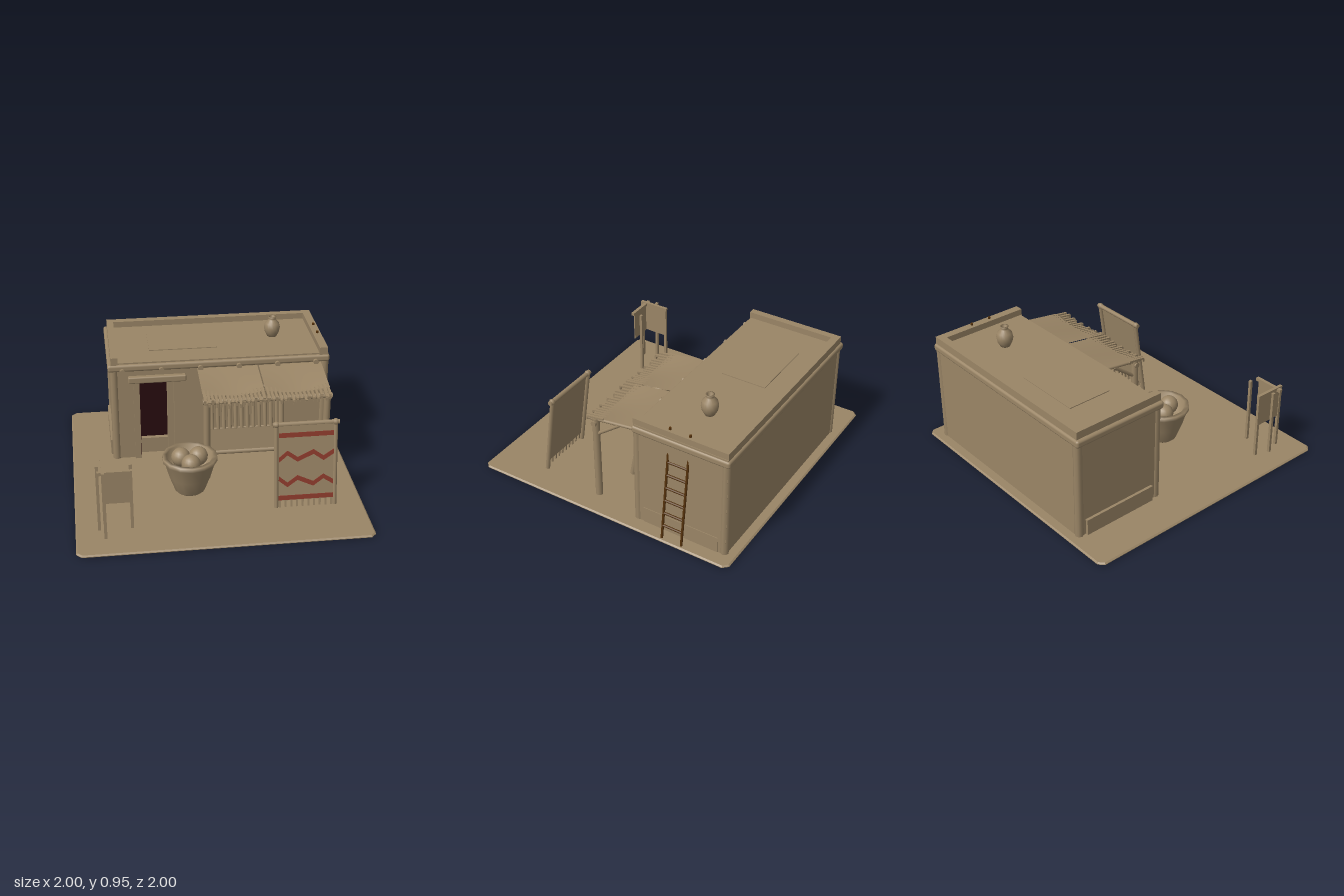
import * as THREE from 'three';
import { RoundedBoxGeometry } from 'three/addons/geometries/RoundedBoxGeometry.js';

const mat = (name, color) => {
  const m = new THREE.MeshStandardMaterial({ color });
  m.name = name;
  return m;
};

export function createModel() {
  const clay = mat('clay', 0x9a8566);
  const red = mat('red wool', 0x8c3a2c);
  const wood = mat('dark wood', 0x53300a);
  const dark = mat('dark interior', 0x280c0e);
  const cloth = mat('clay cloth', 0x9a8566);
  cloth.side = THREE.DoubleSide;
  const model = new THREE.Group();
  model.name = 'adobeHouse';

  const group = (name, parent = model) => {
    const g = new THREE.Group();
    g.name = name;
    parent.add(g);
    return g;
  };
  const add = (name, geo, m = clay, parent = model) => {
    const mesh = new THREE.Mesh(geo, m);
    mesh.name = name;
    parent.add(mesh);
    return mesh;
  };
  // box given by its limits on each axis
  const box = (name, [x0, x1], [y0, y1], [z0, z1], m = clay, parent = model, round = 0) => {
    const s = [x1 - x0, y1 - y0, z1 - z0];
    const geo = round ? new RoundedBoxGeometry(...s, 2, round) : new THREE.BoxGeometry(...s);
    const mesh = add(name, geo, m, parent);
    mesh.position.set((x0 + x1) / 2, (y0 + y1) / 2, (z0 + z1) / 2);
    return mesh;
  };
  // round pole between two points
  const pole = (name, a, b, r, m = clay, parent = model, sides = 8) => {
    const p = new THREE.Vector3(...a), q = new THREE.Vector3(...b);
    const mesh = add(name, new THREE.CylinderGeometry(r, r, p.distanceTo(q), sides), m, parent);
    mesh.position.copy(p).lerp(q, 0.5);
    mesh.quaternion.setFromUnitVectors(new THREE.Vector3(0, 1, 0), q.sub(p).normalize());
    return mesh;
  };

  // ground slab with clipped corners and a small bevel
  const e = 0.99, c = 0.96;
  const slab = new THREE.Shape([[-c, -e], [c, -e], [e, -c], [e, c], [c, e], [-c, e], [-e, c], [-e, -c]]
    .map(p => new THREE.Vector2(...p)));
  add('ground', new THREE.ExtrudeGeometry(slab, { depth: 0.004, bevelThickness: 0.008, bevelSize: 0.01, bevelSegments: 1 })
    .rotateX(-Math.PI / 2).translate(0, 0.008, 0));

  // house walls, with the front wall split around the doorway
  const house = group('house');
  box('mainWalls', [-0.69, 0.895], [0.02, 0.8], [-0.93, -0.34], clay, house);
  box('frontWallLeftPart', [-0.69, -0.49], [0.02, 0.8], [-0.34, -0.235], clay, house);
  box('frontWallRightPart', [-0.24, 0.895], [0.02, 0.8], [-0.34, -0.235], clay, house);
  box('frontWallTop', [-0.49, -0.24], [0.64, 0.8], [-0.34, -0.235], clay, house);
  box('wallBase', [-0.71, 0.9], [0.02, 0.14], [-0.87, -0.3], clay, house);
  box('roofLedge', [-0.715, 0.905], [0.735, 0.79], [-0.945, -0.215], clay, house, 0.018);
  for (const x of [-0.67, 0.873])
    for (const z of [-0.25, -0.91])
      pole('cornerPost', [x, 0.02, z], [x, 0.75, z], 0.03, clay, house);

  // parapet on the back and both sides
  box('backParapet', [-0.69, 0.89], [0.78, 0.845], [-0.93, -0.875], clay, house);
  box('sideParapet', [-0.69, -0.64], [0.78, 0.845], [-0.9, -0.225], clay, house);
  box('sideParapet', [0.83, 0.89], [0.78, 0.845], [-0.9, -0.225], clay, house);
  box('roofHatch', [-0.4, 0.1], [0.795, 0.806], [-0.75, -0.42], clay, house);
  for (let i = 0; i < 6; i++) {
    const x = -0.61 + i * 0.282;
    pole('roofBeamEnd', [x, 0.745, -0.3], [x, 0.745, -0.195], 0.02, clay, house, 10);
  }

  // doorway
  const door = group('doorway');
  box('doorDark', [-0.49, -0.24], [0.02, 0.64], [-0.339, -0.334], dark, door);
  box('doorDarkJamb', [-0.49, -0.486], [0.02, 0.64], [-0.336, -0.237], dark, door);
  box('doorCurtain', [-0.285, -0.24], [0.02, 0.64], [-0.32, -0.26], clay, door);
  box('doorPost', [-0.535, -0.49], [0.02, 0.65], [-0.26, -0.215], clay, door);
  box('doorPost', [-0.24, -0.2], [0.02, 0.65], [-0.26, -0.215], clay, door);
  box('lintel', [-0.57, -0.15], [0.645, 0.695], [-0.26, -0.2], clay, door, 0.01);

  // ladder leaning into the side wall
  const ladder = group('ladder');
  const ladderX = y => 0.972 - (y - 0.02) * 0.13;
  for (const z of [-0.49, -0.64])
    pole('ladderRail', [ladderX(0.02), 0.02, z], [ladderX(0.86), 0.86, z], 0.009, wood, ladder);
  for (let y = 0.12; y < 0.8; y += 0.097)
    pole('ladderRung', [ladderX(y), y, -0.49], [ladderX(y), y, -0.64], 0.009, wood, ladder);

  // awning: two sagging sheets, a stick fringe and its frame
  const awning = group('awning');
  const slope = z => 0.73 - (z + 0.22) * 0.15;
  for (const [x0, x1] of [[-0.07, 0.37], [0.38, 0.84]]) {
    const w = x1 - x0;
    const sag = x => 0.03 * Math.sin(Math.PI * (x - x0) / w);
    const sheet = new THREE.PlaneGeometry(w, 0.32, 12, 6).rotateX(-Math.PI / 2).translate((x0 + x1) / 2, 0, -0.06);
    const p = sheet.attributes.position;
    for (let i = 0; i < p.count; i++) {
      const z = p.getZ(i);
      p.setY(i, slope(z) + 0.006 - sag(p.getX(i)) * (z + 0.22) / 0.4);
    }
    sheet.computeVertexNormals();
    add('awningSheet', sheet, cloth, awning);
    for (let i = 0; i < 16; i++) {
      const x = x0 + 0.012 + i * (w - 0.024) / 15, end = 0.185 + 0.02 * Math.sin(i * 2.3);
      const y = z => slope(z) - sag(x) * 0.8;
      const stick = box('fringeStick', [x - 0.009, x + 0.009], [-0.007, 0.007], [-(end - 0.05) / 2, (end - 0.05) / 2], clay, awning);
      stick.position.set(x, y((end + 0.05) / 2), (end + 0.05) / 2);
      stick.rotation.x = 0.15;
      box('fringeTip', [x - 0.008, x + 0.008], [y(end) - 0.025, y(end)], [end - 0.008, end + 0.004], clay, awning);
    }
  }
  for (const x of [-0.04, 0.82]) {
    pole('awningPost', [x, 0.02, 0.12], [x, 0.67, 0.12], 0.025, clay, awning, 10);
    pole('awningBrace', [x, 0.55, 0.1], [x, 0.68, -0.07], 0.013, clay, awning);
  }
  for (const x of [-0.04, 0.37, 0.82])
    pole('awningRafter', [x, 0.705, -0.22], [x, 0.65, 0.19], 0.012, clay, awning);
  pole('awningBeam', [-0.07, 0.635, 0.12], [0.855, 0.635, 0.12], 0.02, clay, awning);

  // loom leaning under the awning
  const loom = group('loom');
  const loomZ = y => 0.04 - (y - 0.03) * 0.19;
  for (const x of [-0.02, 0.52])
    pole('loomPost', [x, 0.03, loomZ(0.03)], [x, 0.66, loomZ(0.66)], 0.023, clay, loom);
  for (const y of [0.165, 0.635])
    pole('loomBar', [-0.03, y, loomZ(y)], [0.53, y, loomZ(y)], 0.018, clay, loom);
  pole('clothEdge', [0, 0.34, loomZ(0.34)], [0.5, 0.34, loomZ(0.34)], 0.009, clay, loom);
  const web = box('wovenCloth', [0, 0.5], [0.17, 0.34], [-0.008, 0.008], clay, loom);
  web.position.z = loomZ(0.255);
  web.rotation.x = -0.188;
  for (let i = 0; i < 12; i++) {
    const x = 0.015 + i * 0.043;
    pole('warpThread', [x, 0.34, loomZ(0.34)], [x, 0.63, loomZ(0.63)], 0.015, clay, loom, 6);
  }

  // rug on a leaning frame; built upright, then tilted as one
  const rug = group('rugStand');
  rug.position.set(0.59, 0.03, 0.6);
  rug.rotation.x = -0.145;
  for (const x of [-0.205, 0.205])
    pole('rugPost', [x, 0, -0.012], [x, 0.62, -0.012], 0.016, clay, rug);
  pole('rugBar', [-0.23, 0.61, -0.008], [0.23, 0.61, -0.008], 0.017, clay, rug);
  for (const x of [-0.205, 0.205])
    add('rugKnot', new THREE.SphereGeometry(0.023, 8, 6), clay, rug).position.set(x, 0.61, -0.008);
  box('rug', [-0.19, 0.19], [0.055, 0.605], [-0.008, 0.006], clay, rug);
  for (const y of [0.06, 0.52])
    box('rugBand', [-0.19, 0.19], [y, y + 0.033], [0.005, 0.01], red, rug);
  const wave = [[-0.19, 0], [-0.13, 1], [-0.06, 0], [0.05, 1], [0.12, 0], [0.19, 0.9]];
  for (const [y, h] of [[0.34, 0.05], [0.205, -0.05]]) {
    const line = wave.map(([x, t]) => new THREE.Vector2(x, y + t * h));
    const upper = line.map(v => new THREE.Vector2(v.x, v.y + 0.034)).reverse();
    add('rugZigzag', new THREE.ExtrudeGeometry(new THREE.Shape([...line, ...upper]),
      { depth: 0.004, bevelEnabled: false }).translate(0, 0, 0.006), red, rug);
  }
  for (let i = 0; i < 10; i++) {
    const x = -0.18 + i * 0.04;
    box('tassel', [x - 0.006, x + 0.006], [0.005, 0.058], [-0.006, 0.006], clay, rug);
  }

  // basket with three round loaves
  const basket = group('basket');
  basket.position.set(-0.18, 0.02, 0.27);
  const lathe = pts => pts.map(p => new THREE.Vector2(...p));
  add('basketShell', new THREE.LatheGeometry(lathe([[0, 0], [0.09, 0], [0.108, 0.015], [0.15, 0.13], [0.182, 0.245],
    [0.195, 0.25], [0.195, 0.28], [0.165, 0.28], [0.14, 0.17], [0, 0.16]]), 14), cloth, basket);
  for (const [x, z] of [[-0.06, -0.04], [0.065, -0.04], [0.002, 0.065]])
    add('loaf', new THREE.SphereGeometry(0.068, 16, 12), clay, basket).position.set(x, 0.25, z);

  // jar on the roof
  const jar = add('jar', new THREE.LatheGeometry(lathe([[0, 0], [0.035, 0], [0.053, 0.035], [0.06, 0.07], [0.052, 0.105],
    [0.028, 0.13], [0.026, 0.142], [0.031, 0.155], [0.02, 0.155], [0.018, 0.12], [0, 0.11]]), 18), cloth);
  jar.position.set(0.537, 0.8, -0.585);

  // drying rack with two hanging hides
  const rack = group('dryingRack');
  for (const [x, z] of [[-0.838, 0.717], [-0.617, 0.717], [-0.8, 0.825], [-0.8, 0.612]])
    box('rackPost', [x - 0.01, x + 0.01], [0.03, 0.525], [z - 0.01, z + 0.01], clay, rack);
  box('rackBarAcross', [-0.84, -0.61], [0.5, 0.523], [0.78, 0.805], clay, rack);
  box('rackBarAlong', [-0.812, -0.79], [0.51, 0.53], [0.6, 0.835], clay, rack);
  box('hideAcross', [-0.79, -0.63], [0.28, 0.505], [0.788, 0.796], clay, rack);
  box('hideAlong', [-0.804, -0.796], [0.28, 0.515], [0.61, 0.825], clay, rack);

  return model;
}
